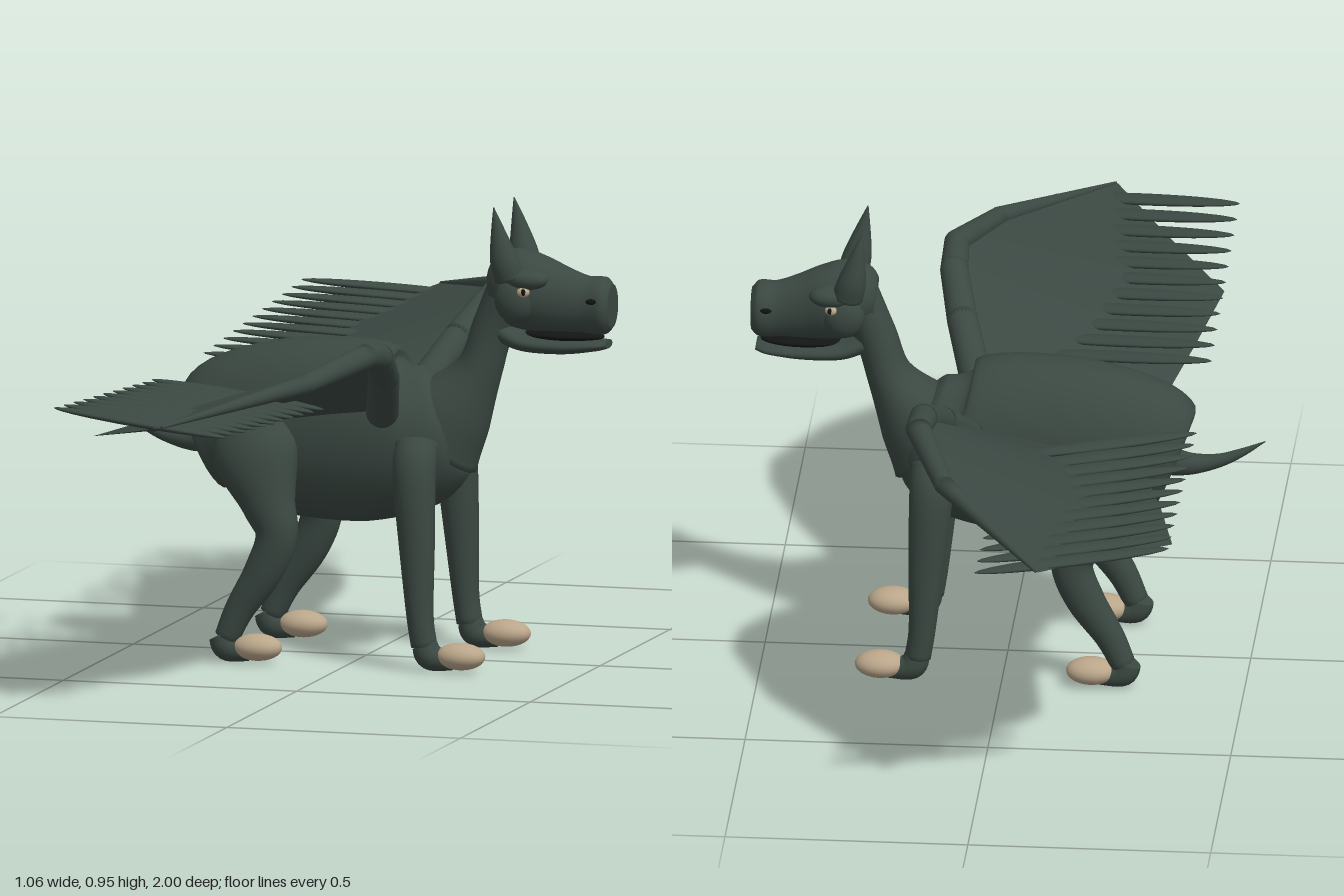
import * as THREE from 'three';

const mat = (name, color, side = THREE.FrontSide) => {
  const m = new THREE.MeshStandardMaterial({ color, side });
  m.name = name;
  return m;
};

const V = (x, y, z) => new THREE.Vector3(x, y, z);

// Smooth closed tube through rows of [x, y, z, radius in plane, radius along side axis]
function limbGeometry(rows, sideAxis = V(0, 0, 1), steps = 6, sides = 24) {
  const path = new THREE.CatmullRomCurve3(rows.map(r => V(r[0], r[1], r[2])), false, 'catmullrom');
  const radii = new THREE.CatmullRomCurve3(rows.map(r => V(r[3], r[4] ?? r[3], 0)), false, 'catmullrom');
  const n = (rows.length - 1) * steps;
  const pos = [], idx = [];
  const ring = (u, scale) => {
    const c = path.getPoint(u), t = path.getTangent(u), r = radii.getPoint(u);
    const s = sideAxis.clone().addScaledVector(t, -sideAxis.dot(t)).normalize();
    const up = s.clone().cross(t);
    for (let j = 0; j < sides; j++) {
      const a = j / sides * Math.PI * 2;
      const p = c.clone().addScaledVector(up, Math.max(r.x, 0.001) * scale * Math.cos(a))
        .addScaledVector(s, Math.max(r.y, 0.001) * scale * Math.sin(a));
      pos.push(p.x, p.y, p.z);
    }
  };
  ring(0, 0);
  ring(0, 0.85);
  for (let i = 0; i <= n; i++) ring(i / n, 1);
  ring(1, 0.85);
  ring(1, 0);
  for (let i = 0; i < n + 4; i++) {
    for (let j = 0; j < sides; j++) {
      const a = i * sides + j, b = i * sides + (j + 1) % sides;
      idx.push(a, b, a + sides, b, b + sides, a + sides);
    }
  }
  const g = new THREE.BufferGeometry();
  g.setAttribute('position', new THREE.Float32BufferAttribute(pos, 3));
  g.setIndex(idx);
  g.computeVertexNormals();
  return g;
}

export function createModel() {
  const hide = mat('darkGreenHide', 0x3b4842);
  const web = mat('darkGreenMembrane', 0x3b4842, THREE.DoubleSide);
  const horn = mat('tanClaw', 0xbaa68a);
  const black = mat('blackPupil', 0x121514);
  const model = new THREE.Group();
  model.name = 'wingedCreature';

  const add = (parent, name, geometry, material) => {
    const mesh = new THREE.Mesh(geometry, material);
    mesh.name = name;
    parent.add(mesh);
    return mesh;
  };
  const limb = (parent, name, rows, side = 1, axis) =>
    add(parent, name, limbGeometry(rows.map(r => [r[0], r[1], r[2] * side, r[3], r[4]]), axis), hide);
  const ball = (parent, name, material, c, r) => {
    const mesh = add(parent, name, new THREE.SphereGeometry(1, 24, 16), material);
    mesh.position.set(...c);
    mesh.scale.set(...r);
    return mesh;
  };

  // Trunk, neck and tail
  limb(model, 'body', [
    [-0.34, 0.44, 0, 0.11, 0.095], [-0.28, 0.465, 0, 0.155, 0.113], [-0.15, 0.472, 0, 0.185, 0.13],
    [0, 0.472, 0, 0.19, 0.135], [0.1, 0.475, 0, 0.165, 0.128], [0.17, 0.505, 0, 0.115, 0.1], [0.2, 0.52, 0, 0.07, 0.06],
  ]);
  limb(model, 'neck', [
    [0.14, 0.47, 0, 0.12, 0.1], [0.19, 0.53, 0, 0.085, 0.085], [0.242, 0.61, 0, 0.048, 0.058],
    [0.272, 0.7, 0, 0.043, 0.05], [0.31, 0.79, 0, 0.045, 0.055],
  ]);
  limb(model, 'tail', [
    [-0.31, 0.445, 0, 0.035], [-0.37, 0.435, 0, 0.024], [-0.43, 0.443, 0, 0.015],
    [-0.48, 0.463, 0, 0.009], [-0.53, 0.49, 0, 0.001],
  ]);

  // Head
  const head = new THREE.Group();
  head.name = 'head';
  model.add(head);
  limb(head, 'skull', [
    [0.272, 0.78, 0, 0.045, 0.045], [0.31, 0.785, 0, 0.078, 0.07], [0.36, 0.773, 0, 0.08, 0.074],
    [0.42, 0.76, 0, 0.069, 0.056], [0.47, 0.753, 0, 0.06, 0.047], [0.51, 0.752, 0, 0.06, 0.051], [0.527, 0.752, 0, 0.045, 0.04],
  ]);
  limb(head, 'jaw', [
    [0.285, 0.695, 0, 0.025, 0.04], [0.34, 0.672, 0, 0.021, 0.05], [0.42, 0.666, 0, 0.018, 0.046],
    [0.49, 0.67, 0, 0.013, 0.042], [0.518, 0.673, 0, 0.009, 0.028],
  ]);
  ball(head, 'mouthLining', black, [0.42, 0.687, 0], [0.09, 0.012, 0.038]);

  for (const s of [1, -1]) {
    const tag = s > 0 ? 'Near' : 'Far';
    limb(head, 'ear' + tag, [
      [0.325, 0.81, 0.062, 0.032, 0.03], [0.315, 0.85, 0.07, 0.029, 0.028],
      [0.305, 0.9, 0.073, 0.017, 0.016], [0.294, 0.957, 0.073, 0.001],
    ], s);
    ball(head, 'brow' + tag, hide, [0.36, 0.808, 0.058 * s], [0.045, 0.022, 0.03]);
    ball(head, 'cheek' + tag, hide, [0.335, 0.765, 0.052 * s], [0.045, 0.05, 0.033]);
    ball(head, 'eye' + tag, horn, [0.357, 0.784, 0.073 * s], [0.014, 0.011, 0.013]);
    ball(head, 'pupil' + tag, black, [0.36, 0.785, 0.083 * s], [0.005, 0.007, 0.004]);
    ball(head, 'nostril' + tag, black, [0.495, 0.766, 0.048 * s], [0.012, 0.006, 0.004]);

    // Legs, feet and claws
    limb(model, 'frontLeg' + tag, [
      [0.143, 0.465, 0.115, 0.045, 0.04], [0.146, 0.41, 0.148, 0.045, 0.042], [0.155, 0.26, 0.158, 0.037, 0.036],
      [0.163, 0.12, 0.163, 0.028, 0.03], [0.172, 0.055, 0.163, 0.027, 0.028],
    ], s);
    limb(model, 'hindLeg' + tag, [
      [-0.21, 0.475, 0.095, 0.09, 0.055], [-0.195, 0.42, 0.128, 0.09, 0.06], [-0.165, 0.335, 0.15, 0.058, 0.048],
      [-0.145, 0.27, 0.16, 0.044, 0.038], [-0.172, 0.195, 0.162, 0.04, 0.034],
      [-0.222, 0.115, 0.163, 0.031, 0.028], [-0.25, 0.055, 0.163, 0.026, 0.027],
    ], s);
    for (const [name, x] of [['front', 0.25], ['hind', -0.185]]) {
      limb(model, name + 'Foot' + tag, [
        [x - 0.078, 0.06, 0.163, 0.026], [x - 0.064, 0.033, 0.163, 0.028], [x - 0.015, 0.024, 0.163, 0.018],
      ], s);
      ball(model, name + 'Claw' + tag, horn, [x, 0.036, 0.163 * s], [0.052, 0.028, 0.038]);
    }

    // Wing: leading arm, membrane and a row of feathers
    const wing = new THREE.Group();
    wing.name = 'wing' + tag;
    model.add(wing);
    const arm = [
      [0.07, 0.53, 0.12, 0.034], [0.115, 0.625, 0.26, 0.032], [0.142, 0.685, 0.38, 0.029],
      [0.145, 0.703, 0.48, 0.026], [0.075, 0.672, 0.69, 0.02], [-0.14, 0.62, 0.999, 0.003],
    ];
    for (let i = 0; i < arm.length - 1; i++) {
      limb(wing, 'armSegment', [arm[i], arm[i + 1]], s, V(1, 0, 0));
      ball(wing, 'armJoint', hide, [arm[i][0], arm[i][1], arm[i][2] * s], [arm[i][3], arm[i][3], arm[i][3]]);
    }
    const trailing = [
      [-0.29, 0.48, 0.12], [-0.32, 0.497, 0.28], [-0.35, 0.515, 0.42],
      [-0.392, 0.538, 0.65], [-0.26, 0.58, 0.83], [-0.145, 0.618, 0.998],
    ];
    const pos = [], idx = [];
    arm.forEach((p, i) => {
      const q = trailing[i];
      pos.push(p[0], p[1], p[2] * s, q[0], q[1], q[2] * s);
      if (i === 0) return;
      const a = 2 * i - 2;
      idx.push(...(s > 0 ? [a, a + 1, a + 2, a + 1, a + 3, a + 2] : [a, a + 2, a + 1, a + 1, a + 2, a + 3]));
    });
    const sheet = new THREE.BufferGeometry();
    sheet.setAttribute('position', new THREE.Float32BufferAttribute(pos, 3));
    sheet.setIndex(idx);
    sheet.computeVertexNormals();
    add(wing, 'membrane', sheet, web);

    for (let i = 0; i < 11; i++) {
      const t = i / 10;
      const back = V(-0.405, 0.585 + 0.047 * t, (0.185 + 0.7 * t) * s);
      const front = V(-0.01, 0.553 + 0.047 * t, (0.27 + 0.7 * t) * s);
      const feather = ball(wing, 'feather', hide, back.clone().lerp(front, 0.5).toArray(),
        [back.distanceTo(front) / 2, 0.009, 0.023]);
      feather.quaternion.setFromUnitVectors(V(1, 0, 0), front.sub(back).normalize());
    }
  }
  return model;
}
